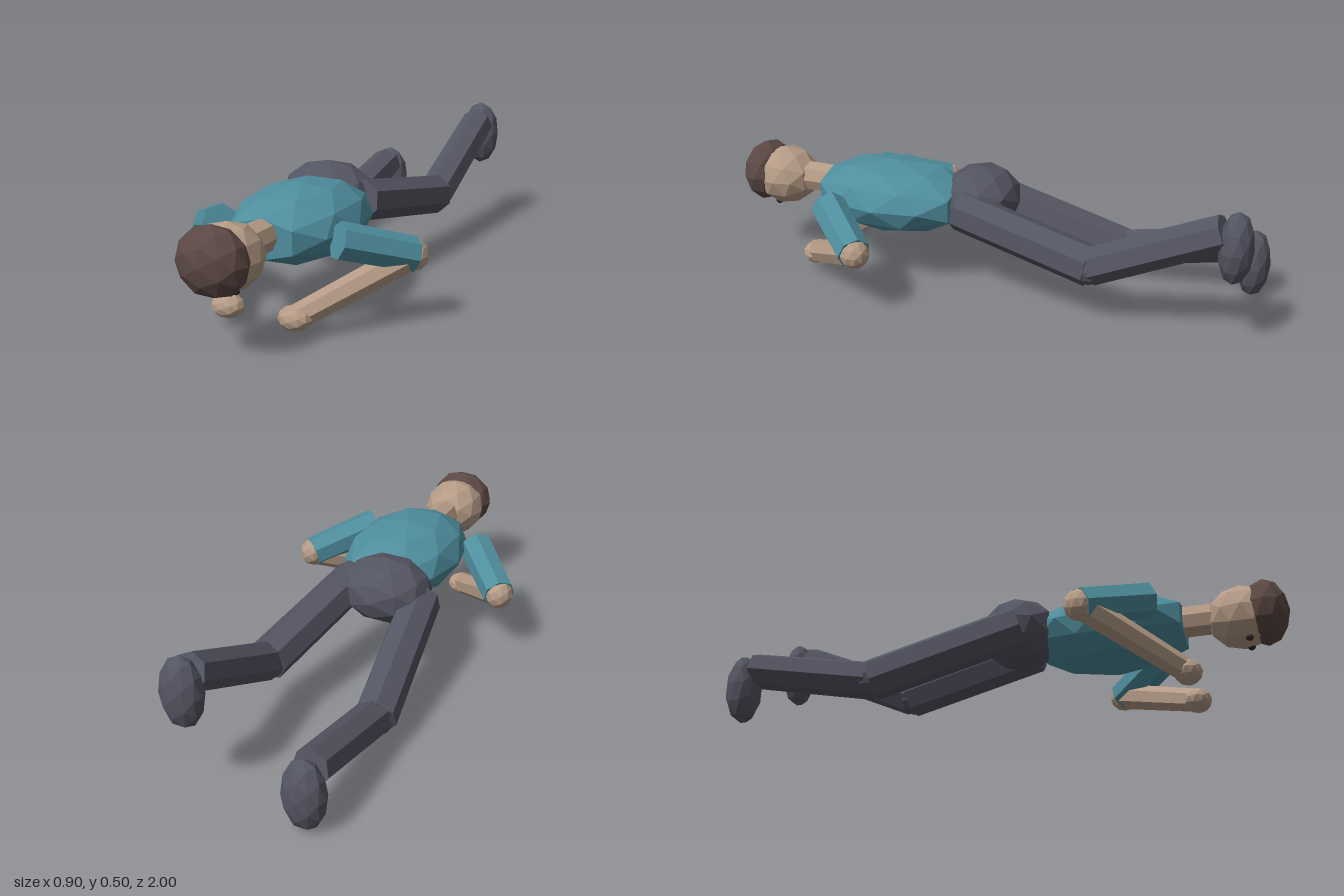
import * as THREE from 'three';

const paint = (name, color) => new THREE.MeshStandardMaterial({ name, color, flatShading: true });

export function createModel() {
  const shirt = paint('shirtTeal', 0x4f8e9e);
  const skin = paint('skin', 0xb59b86);
  const trousers = paint('trouserGrey', 0x545562);
  const hair = paint('hairBrown', 0x5b4844);
  const eyeDark = paint('eyeDark', 0x33292a);

  const model = new THREE.Group();
  model.name = 'lyingFigure';

  const add = (name, geometry, material) => {
    const mesh = new THREE.Mesh(geometry, material);
    mesh.name = name;
    model.add(mesh);
    return mesh;
  };

  // Faceted ellipsoid
  const ball = (name, material, center, radii) => {
    const mesh = add(name, new THREE.IcosahedronGeometry(1, 1), material);
    mesh.position.set(...center);
    mesh.scale.set(...radii);
    return mesh;
  };

  // Seven-sided limb between two points
  const limb = (name, material, from, to, rFrom, rTo, sides = 7) => {
    const a = new THREE.Vector3(...from);
    const b = new THREE.Vector3(...to);
    const dir = b.clone().sub(a);
    const mesh = add(name, new THREE.CylinderGeometry(rTo, rFrom, dir.length(), sides), material);
    mesh.position.copy(a).add(b).multiplyScalar(0.5);
    mesh.quaternion.setFromUnitVectors(new THREE.Vector3(0, 1, 0), dir.normalize());
    return mesh;
  };

  // Torso: ellipsoid flattened at the neck and waist ends
  const torso = ball('torso', shirt, [0, 0.312, 0.366], [0.217, 0.132, 0.323]);
  const p = torso.geometry.attributes.position;
  for (let i = 0; i < p.count; i++) {
    p.setZ(i, THREE.MathUtils.clamp(p.getZ(i), -0.82, 0.82));
  }
  torso.geometry.computeVertexNormals();

  ball('hips', trousers, [-0.068, 0.318, 0.045], [0.175, 0.122, 0.147]);

  // Head, facing down
  limb('neck', skin, [0, 0.325, 0.56], [0, 0.325, 0.76], 0.058, 0.058, 8);
  ball('head', skin, [0, 0.317, 0.835], [0.118, 0.113, 0.128]);
  ball('hair', hair, [0, 0.325, 0.915], [0.125, 0.117, 0.085]);

  for (const s of [1, -1]) {
    const side = s > 0 ? 'left' : 'right';
    ball(side + 'Eye', eyeDark, [s * 0.04, 0.217, 0.855], [0.014, 0.012, 0.014]);

    // Arms, bent with the hands under the shoulders
    const shoulder = [s * 0.222, 0.313, 0.53];
    const elbow = [s * 0.4, 0.235, 0.333];
    const hand = [s * 0.127, 0.072, 0.645];
    limb(side + 'UpperArm', shirt, shoulder, elbow, 0.065, 0.061);
    ball(side + 'Elbow', skin, elbow, [0.052, 0.055, 0.055]);
    limb(side + 'Forearm', skin, elbow, hand, 0.05, 0.043);
    ball(side + 'Hand', skin, hand, [0.06, 0.043, 0.05]);
  }

  // Legs: each bends at the knee with its own pose
  const legs = [
    { side: 'left', hip: [0.075, 0.315, 0.07], knee: [0.143, 0.217, -0.45],
      ankle: [0.143, 0.42, -0.9], foot: [0.143, 0.37, -0.94] },
    { side: 'right', hip: [-0.195, 0.29, 0.07], knee: [-0.272, 0.112, -0.45],
      ankle: [-0.28, 0.2, -0.9], foot: [-0.28, 0.13, -0.94] },
  ];
  for (const { side, hip, knee, ankle, foot } of legs) {
    limb(side + 'Thigh', trousers, hip, knee, 0.076, 0.076);
    ball(side + 'Knee', trousers, knee, [0.068, 0.068, 0.055]);
    limb(side + 'Shin', trousers, knee, ankle, 0.069, 0.065);
    ball(side + 'Foot', trousers, foot, [0.077, 0.13, 0.06]);
  }

  return model;
}
